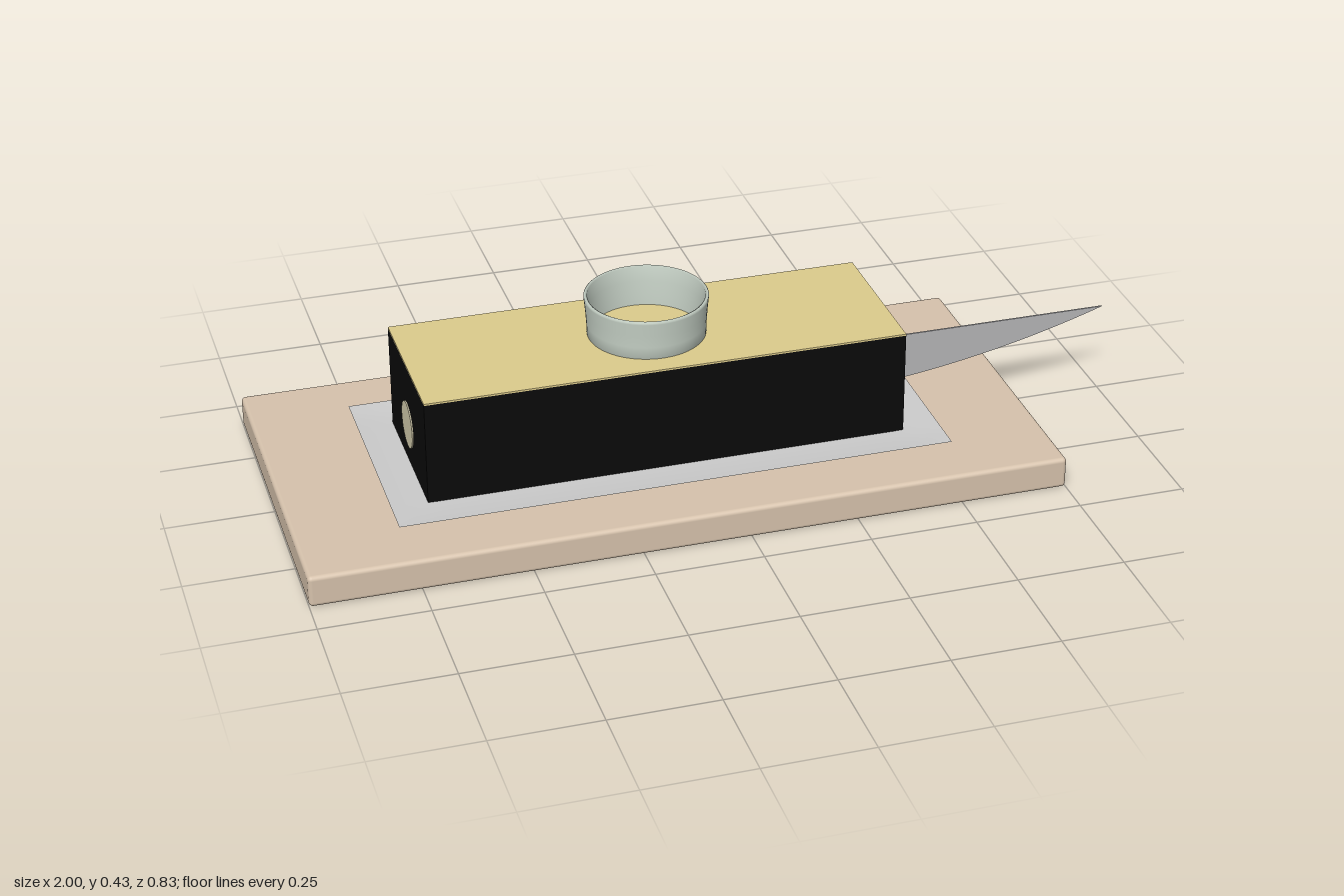
import * as THREE from 'three';
import { RoundedBoxGeometry } from 'three/addons/geometries/RoundedBoxGeometry.js';

const mat = (color, side = THREE.FrontSide) => new THREE.MeshStandardMaterial({ color, side });

export function createModel() {
  const model = new THREE.Group();
  const add = (name, geometry, material, x = 0, y = 0, z = 0) => {
    const mesh = new THREE.Mesh(geometry, material);
    mesh.name = name;
    mesh.position.set(x, y, z);
    model.add(mesh);
    return mesh;
  };

  // Base board with softened edges
  add('baseBoard', new RoundedBoxGeometry(1.75, 0.075, 0.83, 3, 0.01), mat(0xd6c2ac), -0.125, 0.0375);

  // Thin cloth, its border lifted slightly off the board
  const cloth = new THREE.PlaneGeometry(1.29, 0.56, 24, 16).rotateX(-Math.PI / 2);
  const p = cloth.attributes.position;
  for (let i = 0; i < p.count; i++) {
    const edge = Math.min(0.645 - Math.abs(p.getX(i)), 0.28 - Math.abs(p.getZ(i)));
    p.setY(i, 0.006 * Math.max(0, 1 - edge / 0.1) ** 2);
  }
  cloth.computeVertexNormals();
  add('cloth', cloth, mat(0xdededa, THREE.DoubleSide), -0.125, 0.077);

  // Dark block with a pale top panel
  add('block', new THREE.BoxGeometry(1.12, 0.247, 0.374), mat(0x0a0a0a), -0.125, 0.2005);
  add('topPanel', new THREE.BoxGeometry(1.12, 0.004, 0.374), mat(0xdccb8c), -0.125, 0.326);

  // Open flared ring standing on the panel
  const profile = [
    [0.127, 0], [0.136, 0], [0.137, 0.03], [0.139, 0.06], [0.142, 0.09], [0.142, 0.095],
    [0.139, 0.098], [0.134, 0.095], [0.131, 0.06], [0.128, 0.03], [0.127, 0],
  ].map(([r, y]) => new THREE.Vector2(r, y));
  add('ring', new THREE.LatheGeometry(profile, 64), mat(0xc6d1c6, THREE.DoubleSide), -0.125, 0.327);

  // Round inlay on the end of the block
  const disc = add('endInlay', new THREE.CylinderGeometry(0.055, 0.055, 0.006, 40), mat(0xd8d0b0), -0.685, 0.175);
  disc.rotation.z = Math.PI / 2;

  // Thin blade: straight upper edge, curved lower edge rising to the tip
  const outline = new THREE.Shape();
  outline.moveTo(0.42, 0.22);
  outline.lineTo(0.42, 0.098);
  outline.quadraticCurveTo(0.72, 0.125, 1, 0.22);
  outline.closePath();
  const blade = new THREE.ExtrudeGeometry(outline, { depth: 0.004, bevelEnabled: false, curveSegments: 24 });
  add('blade', blade, mat(0xb4b4b6), 0, 0, -0.002);

  return model;
}
